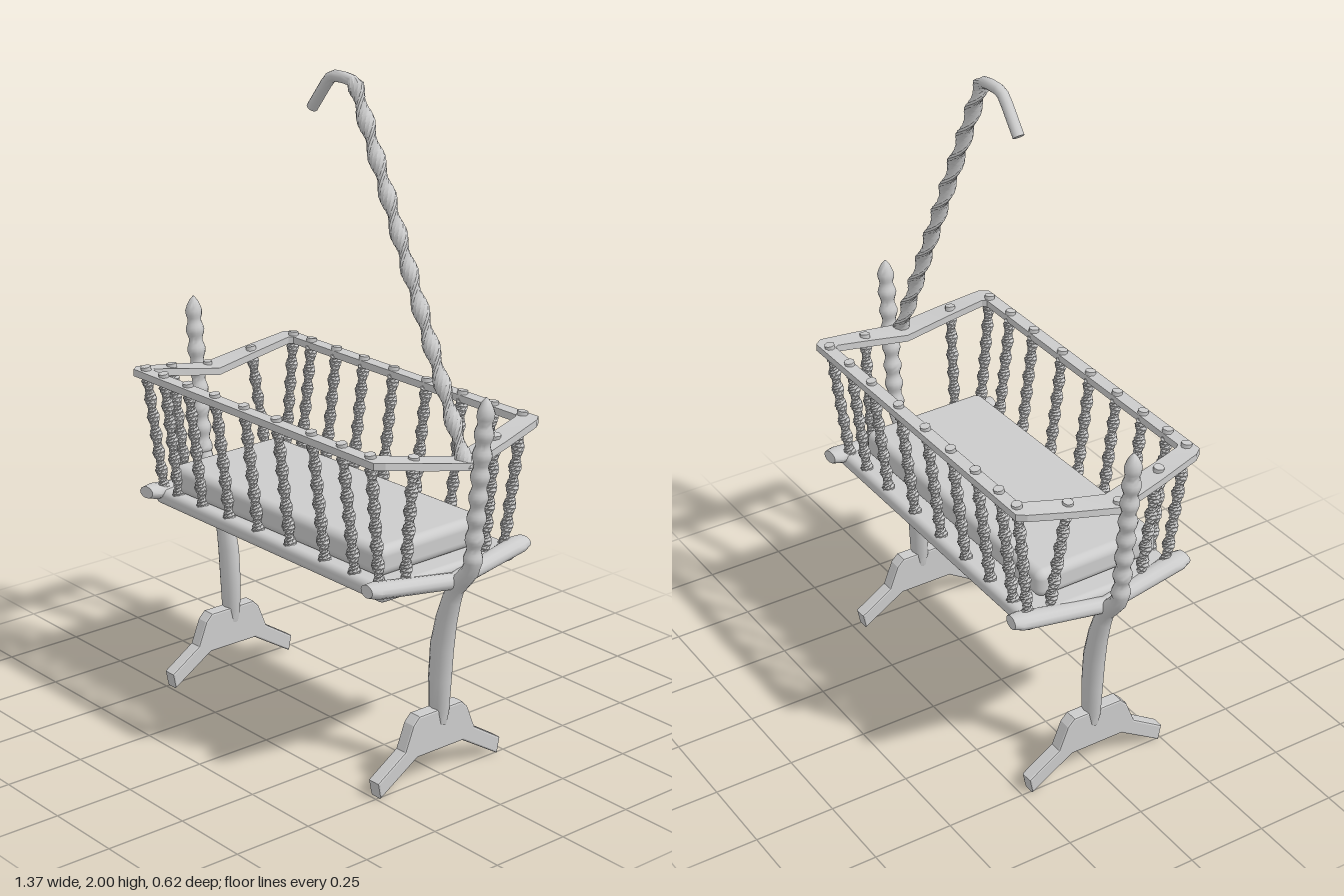
import * as THREE from 'three';
import { toCreasedNormals } from 'three/addons/utils/BufferGeometryUtils.js';
import { RoundedBoxGeometry } from 'three/addons/geometries/RoundedBoxGeometry.js';

const V = (x, y, z) => new THREE.Vector3(x, y, z);
const mat = new THREE.MeshStandardMaterial({ color: 0xcccccc });

function add(parent, name, geo, x = 0, y = 0, z = 0) {
  const m = new THREE.Mesh(geo, mat);
  m.name = name;
  m.position.set(x, y, z);
  parent.add(m);
  return m;
}

// Skin a list of equal-sized rings; capped unless the rings form a loop
function loft(rings, loop = false, crease = 0.8) {
  const n = rings[0].length, m = rings.length, out = [];
  const tri = (...ps) => ps.forEach(p => out.push(p.x, p.y, p.z));
  for (let i = 0; i < (loop ? m : m - 1); i++) {
    const A = rings[i], B = rings[(i + 1) % m];
    for (let j = 0; j < n; j++) {
      const k = (j + 1) % n;
      tri(A[j], A[k], B[k]);
      tri(A[j], B[k], B[j]);
    }
  }
  if (!loop) {
    for (let j = 1; j < n - 1; j++) {
      tri(rings[0][0], rings[0][j + 1], rings[0][j]);
      tri(rings[m - 1][0], rings[m - 1][j], rings[m - 1][j + 1]);
    }
  }
  const g = new THREE.BufferGeometry();
  g.setAttribute('position', new THREE.Float32BufferAttribute(out, 3));
  return toCreasedNormals(g, crease);
}

// Sweep an ellipse along points; section(i) returns [width, depth, twist]
function sweep(pts, section, ref = V(0, 0, 1), sides = 10) {
  return loft(pts.map((p, i) => {
    const t = pts[Math.min(i + 1, pts.length - 1)].clone().sub(pts[Math.max(i - 1, 0)]).normalize();
    const n = t.clone().cross(ref).normalize(), b = t.clone().cross(n);
    const [w, d, tw = 0] = section(i);
    return Array.from({ length: sides }, (_, j) => {
      const a = j / sides * Math.PI * 2;
      const u = w * Math.cos(a), v = d * Math.sin(a);
      return p.clone()
        .addScaledVector(n, u * Math.cos(tw) - v * Math.sin(tw))
        .addScaledVector(b, u * Math.sin(tw) + v * Math.cos(tw));
    });
  }));
}

const line = (a, b, n) => Array.from({ length: n + 1 }, (_, i) => a.clone().lerp(b, i / n));

// Thin twisted bar with a plain round tip
function spindle(parent, bottom, top) {
  const N = 36;
  add(parent, 'spindle', sweep(line(bottom, top, N),
    i => i > N - 3 ? [0.016, 0.016] : [0.02, 0.013, i * 0.62], V(0, 0, 1), 8));
}

// Rail ring: wide end boards that dip to the middle
function rimGeometry() {
  const end = [[0.55, 0.31, 0.5, 0.27], [0.57, 0.285, 0.51, 0.258], [0.592, 0.15, 0.522, 0.14], [0.61, 0, 0.53, 0]];
  const half = [...end, ...end.slice(0, 3).reverse().map(([a, b, c, d]) => [a, -b, c, -d])];
  const rings = [];
  for (const s of [1, -1]) {
    for (const [ox, oz, ix, iz] of half) {
      const y = 1.03 - 0.055 * (1 - Math.min(1, Math.abs(oz) / 0.285)), h = 0.011;
      rings.push([V(s * ox, y - h, s * oz), V(s * ix, y - h, s * iz), V(s * ix, y + h, s * iz), V(s * ox, y + h, s * oz)]);
    }
  }
  return loft(rings, true, 0.5);
}

// Beaded post running down into a flattened, swelling leg
function postGeometry(side) {
  const pts = [], size = [];
  const put = (x, y, w, d) => { pts.push(V(side * x, y, 0)); size.push([w, d]); };
  const lower = [[0.488, 0.16, 0.026, 0.018], [0.488, 0.2, 0.034, 0.026], [0.49, 0.3, 0.04, 0.028], [0.497, 0.4, 0.041, 0.028],
    [0.514, 0.49, 0.036, 0.026], [0.535, 0.56, 0.03, 0.025], [0.55, 0.6, 0.028, 0.025], [0.582, 0.635, 0.027, 0.025], [0.607, 0.665, 0.026, 0.026]];
  lower.forEach(p => put(...p));
  for (let i = 0; i <= 48; i++) {
    const t = i / 48, r = 0.025 + 0.004 * Math.sin(t * Math.PI * 14);
    put(0.617 + 0.04 * t, 0.69 + 0.44 * t, r, r);
  }
  [[1.145, 0.026], [1.16, 0.021], [1.175, 0.014], [1.19, 0.002]].forEach(([y, r]) => put(0.659, y, r, r));
  return sweep(pts, i => size[i], V(0, 0, 1), 12);
}

// Splayed two-toed foot
function footGeometry() {
  const right = [[0.08, 0.205], [0.1, 0.185], [0.13, 0.11], [0.232, 0.045], [0.225, 0.006], [0.09, 0.09]];
  const left = right.map(([x, y]) => [-x, y]).reverse();
  const shape = new THREE.Shape([...right, ...left].map(p => new THREE.Vector2(...p)));
  const g = new THREE.ExtrudeGeometry(shape, { depth: 0.032, bevelEnabled: true, bevelThickness: 0.006, bevelSize: 0.006, bevelSegments: 2 });
  return g.translate(0, 0, -0.016).rotateY(-Math.PI / 2);
}

export function createModel() {
  const model = new THREE.Group();
  model.name = 'cradle';

  // Stand
  for (const side of [1, -1]) {
    const stand = new THREE.Group();
    stand.name = side > 0 ? 'leftStand' : 'rightStand';
    add(stand, 'post', postGeometry(side));
    add(stand, 'foot', footGeometry(), side * 0.487, 0, 0.01);
    model.add(stand);
  }

  // Basket floor and dipped end bars
  const basket = new THREE.Group();
  basket.name = 'basket';
  model.add(basket);
  add(basket, 'floor', new RoundedBoxGeometry(1.06, 0.05, 0.52, 3, 0.02), 0, 0.632, 0);
  for (const side of [1, -1]) {
    const pts = [], size = [];
    for (let i = 0; i <= 20; i++) {
      const u = i / 10 - 1, a = Math.abs(u);
      pts.push(V(side * (0.545 - 0.032 * a), 0.618 + 0.036 * a, 0.3 * u));
      const k = a > 0.95 ? 0.75 : 1;
      size.push([(0.026 + 0.012 * a) * k, 0.024 * k]);
    }
    add(basket, 'endBar', sweep(pts, i => size[i], V(0, 1, 0), 12));
  }

  // Top rail and spindles
  add(basket, 'topRail', rimGeometry());
  for (const x of [-0.52, -0.43, -0.31, -0.18, -0.043, 0.105, 0.26, 0.39, 0.51]) {
    const xb = Math.abs(x) > 0.5 ? x * 0.97 : x;
    for (const s of [1, -1]) spindle(basket, V(xb, 0.64, s * 0.237), V(x, 1.052, s * 0.287));
  }
  for (const s of [1, -1]) {
    spindle(basket, V(s * 0.5, 0.61, 0.15), V(s * 0.553, 1.03, 0.167));
    spindle(basket, V(s * 0.49, 0.61, -0.16), V(s * 0.553, 1.025, -0.14));
  }
  add(basket, 'railPeg', new THREE.CylinderGeometry(0.014, 0.014, 0.04, 12), -0.585, 0.978, 0.005);

  // Mattress, lying slightly askew
  const mattress = add(basket, 'mattress', new RoundedBoxGeometry(0.94, 0.09, 0.42, 4, 0.028), 0, 0.7, 0.02);
  mattress.rotation.y = 0.02;

  // Twisted canopy pole with a bent hook
  const pole = line(V(0.592, 0.965, 0.004), V(0.135, 1.965, 0.02), 64);
  const twisted = pole.length;
  pole.push(V(0.12, 1.98, 0.021), V(0.09, 1.984, 0.022), V(0.05, 1.984, 0.023), V(0.03, 1.976, 0.024), V(0.01, 1.955, 0.024), V(-0.05, 1.88, 0.024));
  add(model, 'canopyPole', sweep(pole, i => i < twisted ? [0.026, 0.016, i * 0.5] : [0.017, 0.017, twisted * 0.5], V(0, 0, 1), 12));

  return model;
}
